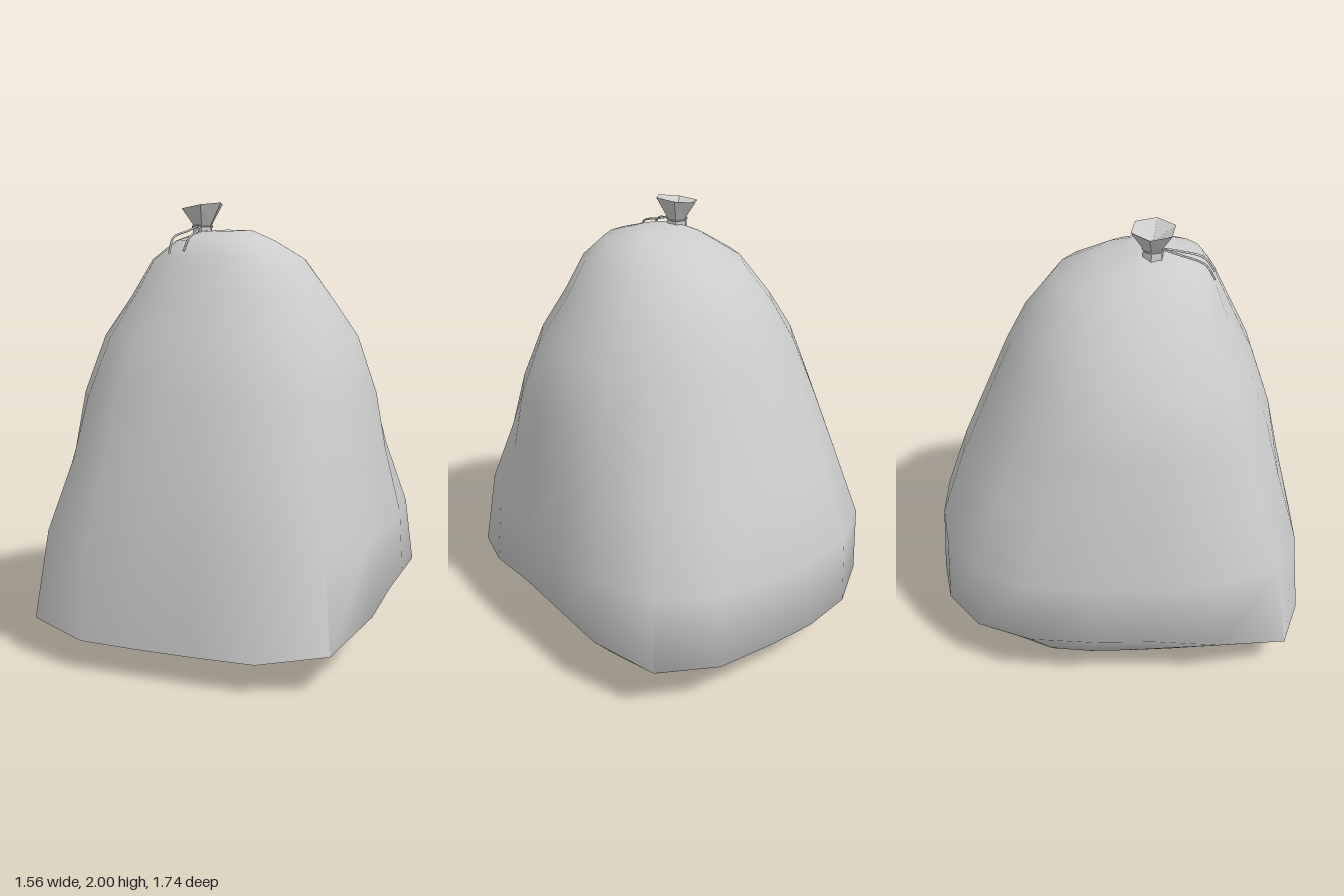
import * as THREE from 'three';
import { toCreasedNormals } from 'three/addons/utils/BufferGeometryUtils.js';

const SIDES = 20;

// One horizontal section: rounded square with separate front, side and back heights.
// The corner powers are for the front pair, the back left and the back right.
function ring([yFront, ySide, yBack, width, zFront, zBack, front, backLeft, backRight]) {
  const points = [];
  const zMid = (zFront + zBack) / 2, depth = (zFront - zBack) / 2;
  for (let j = 0; j < SIDES; j++) {
    const a = (j + 0.5) / SIDES * Math.PI * 2;
    const c = Math.cos(a), s = Math.sin(a);
    const n = s > 0 ? front : c > 0 ? backLeft : backRight;
    const r = Math.pow(Math.abs(c) ** n + Math.abs(s) ** n, -1 / n);
    const y = ySide + ((s > 0 ? yFront : yBack) - ySide) * Math.min(1, (s * r) ** 2);
    points.push([c * r * width, y, zMid + s * r * depth]);
  }
  return points;
}

function createSack(material) {
  // yFront, ySide, yBack, half width, zFront, zBack, three corner powers
  const rings = [
    [0.00, 0.00, 0.00, 0.00, -0.20, -0.20, 2, 2, 2],
    [0.02, 0.005, 0.005, 0.20, 0.15, -0.40, 2, 2, 2],
    [0.04, 0.06, 0.02, 0.60, 0.52, -0.63, 4, 4, 2.6],
    [0.13, 0.28, 0.22, 0.78, 0.87, -0.87, 5, 4.2, 2.6],
    [0.55, 0.57, 0.55, 0.765, 0.84, -0.85, 3.8, 3, 2.7],
    [0.87, 0.87, 0.87, 0.70, 0.76, -0.74, 3, 2.3, 2.4],
    [1.14, 1.14, 1.14, 0.665, 0.70, -0.625, 2.6, 2, 2.1],
    [1.40, 1.40, 1.38, 0.58, 0.61, -0.52, 2.4, 1.95, 2],
    [1.60, 1.57, 1.57, 0.46, 0.51, -0.42, 2.4, 2, 2.1],
    [1.74, 1.75, 1.74, 0.335, 0.44, -0.28, 2.8, 2.1, 2.1],
    [1.83, 1.83, 1.83, 0.22, 0.38, -0.10, 2.4, 2, 2],
    [1.87, 1.875, 1.865, 0.12, 0.25, 0.03, 2, 2, 2],
    [1.88, 1.88, 1.88, 0.00, 0.14, 0.14, 2, 2, 2],
  ].map(ring);
  const positions = rings.flat(2);
  const index = [];
  const last = rings.length - 2;
  for (let i = 0; i <= last; i++) {
    for (let j = 0; j < SIDES; j++) {
      const k = (j + 1) % SIDES;
      const a = i * SIDES + j, b = i * SIDES + k;
      const up = a + SIDES, upNext = b + SIDES;
      if (i > 0) index.push(a, up, b);
      if (i < last) index.push(b, up, upNext);
    }
  }
  const geometry = new THREE.BufferGeometry();
  geometry.setAttribute('position', new THREE.Float32BufferAttribute(positions, 3));
  geometry.setIndex(index);
  // crisp only where the front meets the underside
  const sack = new THREE.Mesh(toCreasedNormals(geometry, 1.25), material);
  sack.name = 'sack';
  return sack;
}

// Gathered neck flaring into a faceted, hollow mouth
function createNeck() {
  const profile = [[0.052, 1.83], [0.046, 1.90], [0.102, 1.985], [0.001, 1.93]]
    .map(([r, y]) => new THREE.Vector2(r, y));
  const geometry = new THREE.LatheGeometry(profile, 6, 0.3);
  const p = geometry.attributes.position;
  for (let i = 0; i < p.count; i++) {
    // mouth leans up toward +x
    if (p.getY(i) > 1.95) p.setY(i, p.getY(i) + p.getX(i) * 0.15);
  }
  const neck = new THREE.Mesh(geometry, new THREE.MeshStandardMaterial({
    color: 0xcccccc, flatShading: true, side: THREE.DoubleSide,
  }));
  neck.position.set(-0.117, 0, 0.15);
  neck.name = 'gatheredNeck';
  return neck;
}

// Thin cord round the neck with two loose ends lying on the front
function createTie(material) {
  const tie = new THREE.Group();
  tie.name = 'tie';
  const loop = new THREE.Mesh(new THREE.TorusGeometry(0.046, 0.004, 5, 12), material);
  loop.rotation.x = Math.PI / 2;
  loop.position.set(-0.117, 1.895, 0.15);
  loop.name = 'tieLoop';
  tie.add(loop);
  const ends = [
    [[-0.125, 1.895, 0.19], [-0.14, 1.872, 0.27], [-0.165, 1.84, 0.37], [-0.165, 1.77, 0.415]],
    [[-0.115, 1.895, 0.19], [-0.09, 1.872, 0.27], [-0.088, 1.84, 0.375], [-0.095, 1.78, 0.42]],
  ];
  for (const points of ends) {
    const curve = new THREE.CatmullRomCurve3(points.map(q => new THREE.Vector3(...q)));
    const end = new THREE.Mesh(new THREE.TubeGeometry(curve, 10, 0.005, 5), material);
    end.name = 'tieEnd';
    tie.add(end);
  }
  return tie;
}

export function createModel() {
  const material = new THREE.MeshStandardMaterial({ color: 0xcccccc });
  const model = new THREE.Group();
  model.name = 'tiedSack';
  model.add(createSack(material), createNeck(), createTie(material));
  return model;
}
